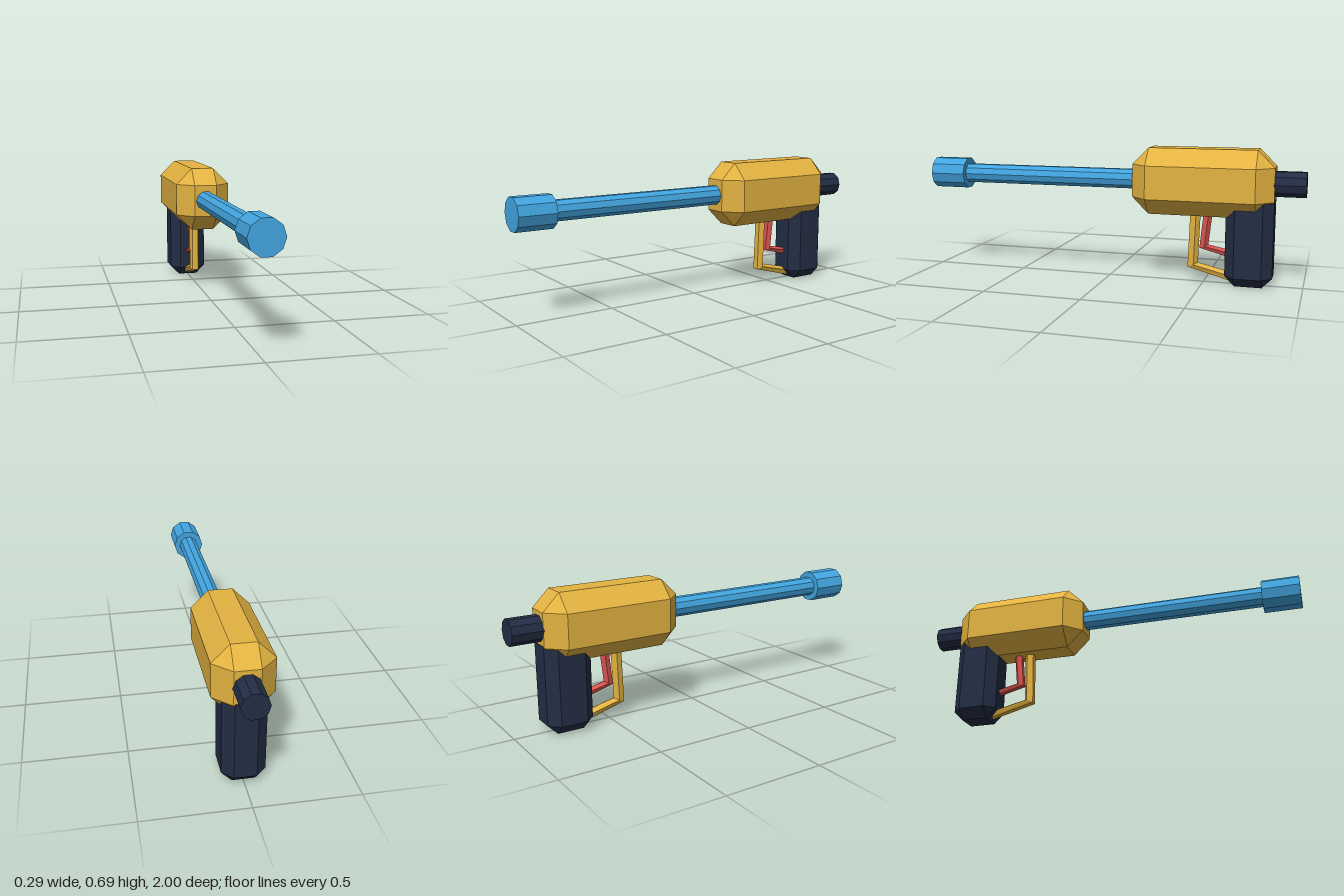
import * as THREE from 'three';
import { ConvexGeometry } from 'three/addons/geometries/ConvexGeometry.js';

const material = (name, color) => {
  const m = new THREE.MeshStandardMaterial({ color });
  m.name = name;
  return m;
};

// Split vertices so that every face is shaded flat
function flat(geometry) {
  const g = geometry.index ? geometry.toNonIndexed() : geometry;
  g.computeVertexNormals();
  return g;
}

// Box with all twelve edges chamfered by c
function chamferedBox(w, h, d, c) {
  const points = [];
  const [x, y, z] = [w / 2, h / 2, d / 2];
  for (const sx of [-1, 1]) for (const sy of [-1, 1]) for (const sz of [-1, 1]) {
    points.push(
      new THREE.Vector3(sx * x, sy * (y - c), sz * (z - c)),
      new THREE.Vector3(sx * (x - c), sy * y, sz * (z - c)),
      new THREE.Vector3(sx * (x - c), sy * (y - c), sz * z));
  }
  return flat(new ConvexGeometry(points));
}

// Ten-sided rod along z, with corners at the far left and right
function rod(radius, z0, z1) {
  const g = new THREE.CylinderGeometry(radius, radius, z1 - z0, 10, 1, false, Math.PI / 2);
  g.rotateX(Math.PI / 2).translate(0, 0.52, (z0 + z1) / 2);
  return flat(g);
}

// Five-sided bar through stations [z, y, outward z, outward y]; its ends are buried
function bentBar(radius, stations) {
  const positions = [], index = [];
  for (const [z, y, nz, ny] of stations) {
    for (let k = 0; k < 5; k++) {
      const a = Math.PI / 5 + k * Math.PI * 2 / 5;
      const d = radius * Math.cos(a);
      positions.push(radius * Math.sin(a), y + ny * d, z + nz * d);
    }
  }
  for (let i = 0; i < stations.length - 1; i++) {
    for (let k = 0; k < 5; k++) {
      const a = i * 5 + k, d = i * 5 + (k + 1) % 5;
      index.push(a, a + 5, d + 5, a, d + 5, d);
    }
  }
  const g = new THREE.BufferGeometry();
  g.setAttribute('position', new THREE.Float32BufferAttribute(positions, 3));
  g.setIndex(index);
  return flat(g);
}

export function createModel() {
  const group = new THREE.Group();
  const gold = material('gold', 0xe3b341);
  const blue = material('blue', 0x42a5e0);
  const navy = material('navy', 0x232d45);
  const red = material('red', 0xd9534f);

  const add = (name, geometry, mat, x = 0, y = 0, z = 0) => {
    const mesh = new THREE.Mesh(geometry, mat);
    mesh.name = name;
    mesh.position.set(x, y, z);
    group.add(mesh);
  };

  // Main housing and grip
  add('body', chamferedBox(0.29, 0.338, 0.715, 0.085), gold, 0, 0.519, -0.4925);
  add('grip', chamferedBox(0.206, 0.49, 0.236, 0.05), navy, 0, 0.245, -0.733);

  // Barrel, muzzle and rear cap
  add('barrel', rod(0.052, -0.2, 0.82), blue);
  add('muzzle', rod(0.084, 0.81, 1), blue);
  add('rearCap', rod(0.065, -1, -0.8), navy);

  // Guard and trigger, each running down and then back into the grip
  add('triggerGuard', bentBar(0.028, [
    [-0.454, 0.4, 1, 0], [-0.443, 0.086, 1, -0.45], [-0.68, 0.026, 0.1, -0.85]]), gold);
  add('trigger', bentBar(0.024, [
    [-0.522, 0.4, 1, 0], [-0.499, 0.186, 1, -0.4], [-0.66, 0.148, 0.1, -0.85]]), red);

  return group;
}
